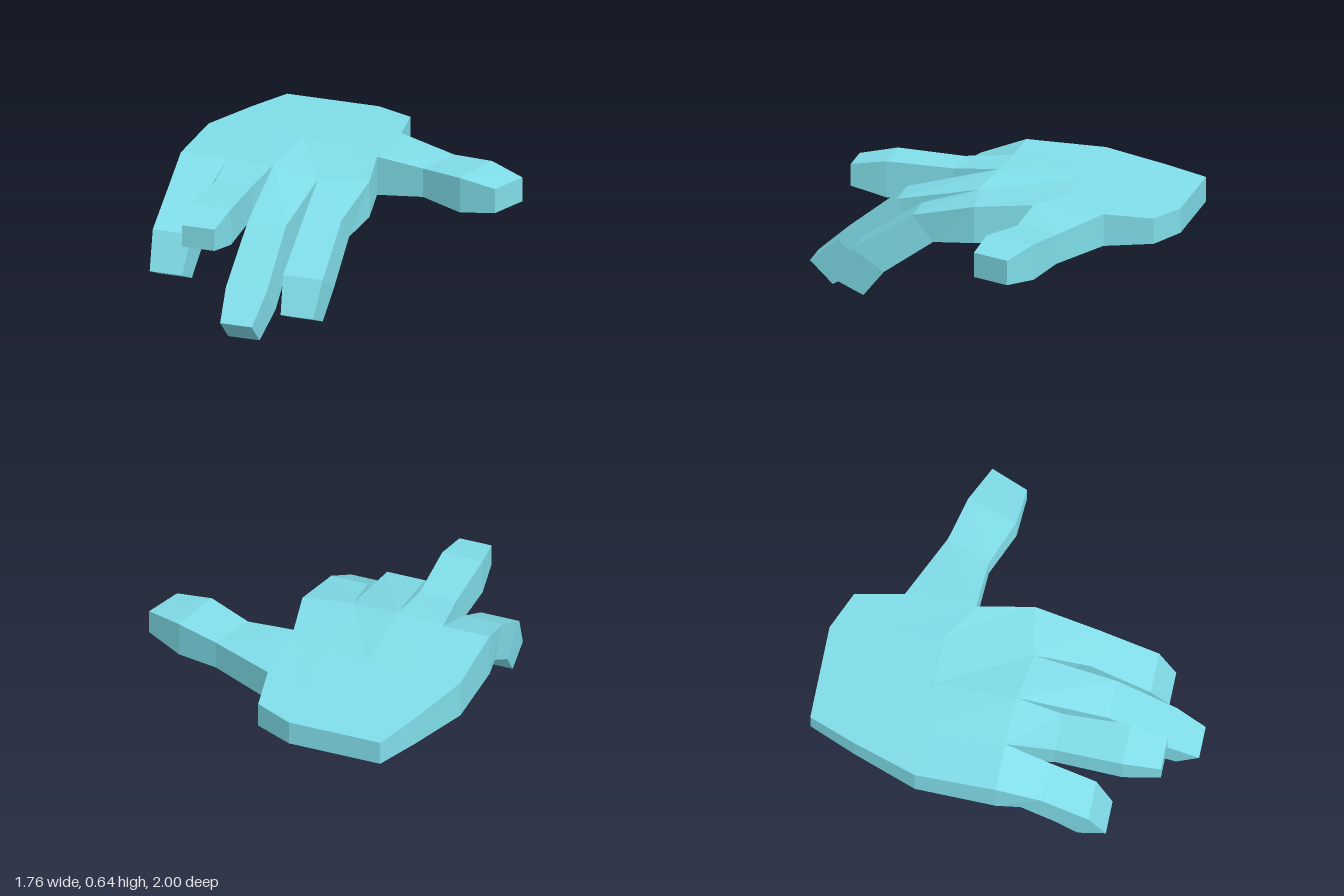
import * as THREE from 'three';

const material = new THREE.MeshStandardMaterial({ color: 0x80deea, flatShading: true });

// Skins a row of rings. Each ring runs along its top edge, then back along its bottom edge.
function loft(name, rings, capStart, capEnd) {
  const pos = [];
  const quad = (a, b, c, d) => pos.push(...a, ...b, ...c, ...a, ...c, ...d);
  const n = rings[0].length;
  for (let r = 0; r < rings.length - 1; r++) {
    for (let i = 0; i < n; i++) {
      const j = (i + 1) % n;
      quad(rings[r][i], rings[r + 1][i], rings[r + 1][j], rings[r][j]);
    }
  }
  const cap = (p, flip) => {
    for (let i = 0; i < n / 2 - 1; i++) {
      const q = [p[i], p[n - 1 - i], p[n - 2 - i], p[i + 1]];
      quad(...(flip ? q.reverse() : q));
    }
  };
  if (capStart) cap(rings[0], true);
  if (capEnd) cap(rings[rings.length - 1], false);
  const geometry = new THREE.BufferGeometry();
  geometry.setAttribute('position', new THREE.Float32BufferAttribute(pos, 3));
  geometry.computeVertexNormals();
  const mesh = new THREE.Mesh(geometry, material);
  mesh.name = name;
  return mesh;
}

// Palm rows from wrist to knuckles; each point is x, z, top y, bottom y
const palmRows = [
  [[-0.66, -1, 0.59, 0.455], [-0.5, -1, 0.59, 0.455], [-0.33, -1, 0.59, 0.455], [-0.15, -1, 0.59, 0.455], [0.055, -0.91, 0.595, 0.455]],
  [[-0.76, -0.75, 0.605, 0.44], [-0.57, -0.75, 0.605, 0.44], [-0.35, -0.75, 0.605, 0.44], [-0.13, -0.75, 0.605, 0.44], [0.1, -0.65, 0.61, 0.435]],
  [[-0.88, -0.4, 0.625, 0.415], [-0.62, -0.4, 0.625, 0.415], [-0.36, -0.4, 0.625, 0.415], [-0.1, -0.4, 0.625, 0.415], [0.1, -0.27, 0.625, 0.41]],
  [[-0.88, 0.03, 0.63, 0.39], [-0.62, 0.03, 0.63, 0.39], [-0.36, 0.04, 0.64, 0.41], [-0.1, 0.08, 0.61, 0.4], [0.165, 0.03, 0.61, 0.41]],
];
const top = ([x, z, t]) => [x, t, z];
const bottom = ([x, z, , b]) => [x, b, z];
const ringOf = (row) => [...row.map(top), ...row.map(bottom).reverse()];

// Fingers, each starting at a knuckle column; joints are left x, right x, top z, top y, bottom z, bottom y
const fingers = [
  ['littleFinger', 0, [
    [-0.86, -0.645, 0.27, 0.54, 0.16, 0.385],
    [-0.86, -0.645, 0.52, 0.39, 0.34, 0.267],
    [-0.845, -0.665, 0.61, 0.19, 0.46, 0.118]]],
  ['ringFinger', 1, [
    [-0.595, -0.39, 0.29, 0.61, 0.29, 0.43],
    [-0.605, -0.38, 0.65, 0.62, 0.65, 0.42],
    [-0.58, -0.4, 0.85, 0.58, 0.85, 0.46]]],
  ['middleFinger', 2, [
    [-0.33, -0.12, 0.525, 0.513, 0.42, 0.33],
    [-0.34, -0.115, 0.84, 0.262, 0.7, 0.11],
    [-0.315, -0.14, 1, 0.123, 0.877, 0.002]]],
  ['indexFinger', 3, [
    [-0.07, 0.135, 0.374, 0.524, 0.26, 0.385],
    [-0.075, 0.145, 0.695, 0.31, 0.524, 0.198],
    [-0.055, 0.125, 0.79, 0.123, 0.64, 0.053]]],
];

// Thumb joints: front x, front z, back x, back z, top y, bottom y
const thumbJoints = [
  [0.36, -0.255, 0.45, -0.49, 0.6, 0.44],
  [0.6, -0.155, 0.68, -0.43, 0.62, 0.425],
  [0.8, -0.14, 0.88, -0.34, 0.59, 0.455],
];

export function createModel() {
  const hand = new THREE.Group();
  hand.name = 'hand';

  hand.add(loft('palm', palmRows.map(ringOf), true, true));

  const knuckles = palmRows[3];
  for (const [name, column, joints] of fingers) {
    const rings = joints.map(([l, r, tz, ty, bz, by]) => [[l, ty, tz], [r, ty, tz], [r, by, bz], [l, by, bz]]);
    hand.add(loft(name, [ringOf(knuckles.slice(column, column + 2)), ...rings], false, true));
  }

  const thumbRings = thumbJoints.map(([fx, fz, bx, bz, t, b]) => [[fx, t, fz], [bx, t, bz], [bx, b, bz], [fx, b, fz]]);
  hand.add(loft('thumb', [ringOf([palmRows[2][4], palmRows[1][4]]), ...thumbRings], false, true));

  return hand;
}
